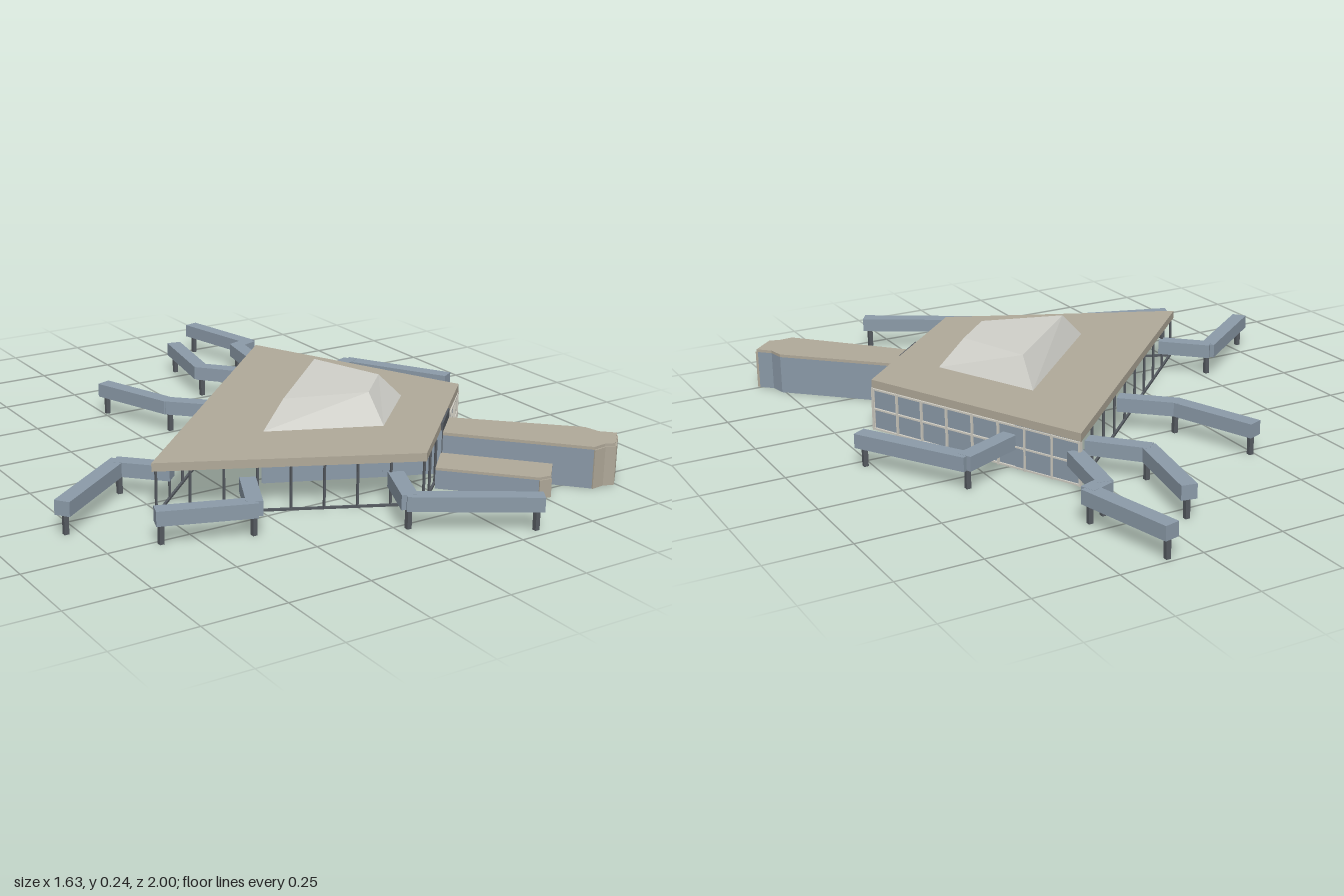
import * as THREE from 'three';

const mat = (name, color, side = THREE.FrontSide) => {
  const m = new THREE.MeshStandardMaterial({ color, side });
  m.name = name;
  return m;
};

export function createModel() {
  const group = new THREE.Group();
  const tan = mat('roof tan', 0xb0a999);
  const glass = mat('blue grey cladding', 0x8b9aa8);
  const pale = mat('pale frame', 0xcfccc2);
  const light = mat('skylight grey', 0xd0d0ca, THREE.DoubleSide);
  const dark = mat('dark steel', 0x565b61);

  const add = (name, geo, material, parent = group) => {
    const m = new THREE.Mesh(geo, material);
    m.name = name;
    parent.add(m);
    return m;
  };
  // Flat plan outline [x, z] raised from y0 to y1
  const prism = (name, pts, y0, y1, material) => {
    const shape = new THREE.Shape(pts.map(([x, z]) => new THREE.Vector2(x, -z)));
    const geo = new THREE.ExtrudeGeometry(shape, { depth: y1 - y0, bevelEnabled: false });
    geo.rotateX(-Math.PI / 2).translate(0, y0, 0);
    return add(name, geo, material);
  };
  // Upright bar or wall between two plan points
  const wall = (name, a, b, y0, y1, thick, material, parent = group, extra = 0) => {
    const dx = b[0] - a[0], dz = b[1] - a[1];
    const m = add(name, new THREE.BoxGeometry(Math.hypot(dx, dz) + extra, y1 - y0, thick), material, parent);
    m.position.set((a[0] + b[0]) / 2, (y0 + y1) / 2, (a[1] + b[1]) / 2);
    m.rotation.y = -Math.atan2(dz, dx);
    return m;
  };
  const post = (name, [x, z], y1, w, material, parent = group) => {
    add(name, new THREE.BoxGeometry(w, y1, w), material, parent).position.set(x, y1 / 2, z);
  };
  const mix = (a, b, t) => [a[0] + (b[0] - a[0]) * t, a[1] + (b[1] - a[1]) * t];
  // Window grid laid over a wall line
  const grid = (name, a, b, bays, thick) => {
    const g = new THREE.Group();
    g.name = name;
    group.add(g);
    const d = Math.hypot(b[0] - a[0], b[1] - a[1]), half = 0.003 / d;
    for (let i = 0; i <= bays; i++) {
      const t = i / bays;
      wall('mullion', mix(a, b, t - half), mix(a, b, t + half), 0, 0.135, thick, pale, g);
    }
    for (const y of [0.002, 0.066, 0.129]) wall('transom', a, b, y, y + 0.005, thick, pale, g);
  };

  // Main roof
  const back = [0.31, -0.48], left = [0.635, 0.22], front = [0.17, 0.67], right = [-0.53, 0.34];
  const joinA = [0.465, 0.386], joinB = [0.365, 0.485];
  prism('mainRoof', [back, left, front, right], 0.135, 0.16, tan);
  wall('roofJoint', joinA, joinB, 0.13, 0.158, 0.008, dark);

  // Skylight: sloped sides between two outlines, with a flat cap
  const base = [[0.26, -0.11], [0.41, 0.22], [0.2, 0.42], [-0.13, 0.28]];
  const cap = [[0.245, -0.02], [0.325, 0.215], [0.2, 0.34], [-0.05, 0.262]];
  const lo = base.map(([x, z]) => [x, 0.16, z]), hi = cap.map(([x, z]) => [x, 0.242, z]);
  const pos = [];
  const quad = (a, b, c, d) => [a, b, c, a, c, d].forEach((p) => pos.push(...p));
  for (let i = 0; i < 4; i++) {
    const j = (i + 1) % 4;
    quad(lo[j], lo[i], hi[i], hi[j]);
  }
  quad(hi[3], hi[2], hi[1], hi[0]);
  const sky = new THREE.BufferGeometry();
  sky.setAttribute('position', new THREE.Float32BufferAttribute(pos, 3));
  sky.computeVertexNormals();
  add('skylight', sky, light);

  // Enclosed wing on the glazed side
  prism('glazedWing', [[0.405, -0.27], [0.63, 0.215], joinA, base[0]], 0, 0.135, glass);
  wall('glazedWall', [0.31, -0.47], [0.405, -0.27], 0, 0.135, 0.006, glass);
  grid('glazedWallGrid', [0.31, -0.475], [0.632, 0.218], 8, 0.012);
  grid('glazedEndGrid', [0.632, 0.218], joinA, 3, 0.01);

  // Walls round the central hall
  wall('hallBackWall', base[0], base[3], 0, 0.135, 0.008, glass);
  wall('hallFrontWall', base[3], base[2], 0, 0.135, 0.008, glass);
  wall('hallLinkWall', base[2], joinB, 0, 0.135, 0.008, glass);
  // Inner face of the hall is gridded
  grid('hallGrid', [base[3][0] + 0.003, base[3][1] - 0.005], [base[2][0] + 0.003, base[2][1] - 0.005], 5, 0.004);
  grid('hallLinkGrid', [base[2][0] + 0.003, base[2][1] - 0.005], [joinB[0] + 0.003, joinB[1] - 0.005], 3, 0.004);

  // Open colonnades along the other roof edges
  const colonnade = (name, a, b, n) => {
    const g = new THREE.Group();
    g.name = name;
    group.add(g);
    for (let i = 0; i <= n; i++) post('column', mix(a, b, i / n), 0.135, 0.006, dark, g);
    wall('groundRail', a, b, 0, 0.007, 0.007, dark, g);
  };
  colonnade('backColonnade', [0.305, -0.465], [-0.515, 0.337], 9);
  colonnade('frontColonnade', [-0.515, 0.337], [0.17, 0.66], 8);
  colonnade('linkColonnade', [0.17, 0.66], joinB, 3);

  // Long pier and low annex
  const pier = [joinA, [0.76, 0.67], [0.77, 0.72], [0.807, 0.757], [0.74, 0.822],
    [0.71, 0.81], [0.665, 0.815], joinB];
  prism('pierBody', pier, 0, 0.12, glass);
  prism('pierRoof', pier, 0.12, 0.129, tan);
  for (let i = 3; i < 6; i++) wall('pierEndPanel', pier[i], pier[i + 1], 0, 0.12, 0.008, tan);
  const annex = [joinB, [0.59, 0.725], [0.52, 0.8], [0.48, 0.795], [0.275, 0.577]];
  prism('annexBody', annex, 0, 0.057, glass);
  prism('annexRoof', annex, 0.057, 0.065, tan);
  wall('annexEndPanel', annex[2], annex[3], 0, 0.057, 0.008, tan);

  // Boarding bridges: box runs along bent paths, on thin legs
  const bridges = [
    [[0.235, -0.4], [0.12, -0.53], [0.173, -0.81]],
    [[-0.02, -0.15], [-0.145, -0.27], [-0.24, -0.53]],
    [[0.318, -0.465], [0.355, -0.68], [0.412, -0.7], [0.347, -0.99]],
    [[0.41, -0.25], [0.592, -0.33], [0.775, -0.025]],
    [[-0.42, 0.24], [-0.53, 0.13], [-0.795, 0.33]],
    [[-0.285, 0.45], [-0.355, 0.6], [-0.605, 0.515]],
    [[0.095, 0.63], [0.03, 0.78], [0.335, 0.97]],
  ];
  for (const path of bridges) {
    const g = new THREE.Group();
    g.name = 'boardingBridge';
    group.add(g);
    for (let i = 0; i + 1 < path.length; i++) {
      wall('bridgeSection', path[i], path[i + 1], 0.06, 0.104 - i * 0.0006, 0.047, glass, g, 0.016);
      post('bridgeLeg', mix(path[i], path[i + 1], 0.97), 0.061, 0.014, dark, g);
    }
  }
  return group;
}
